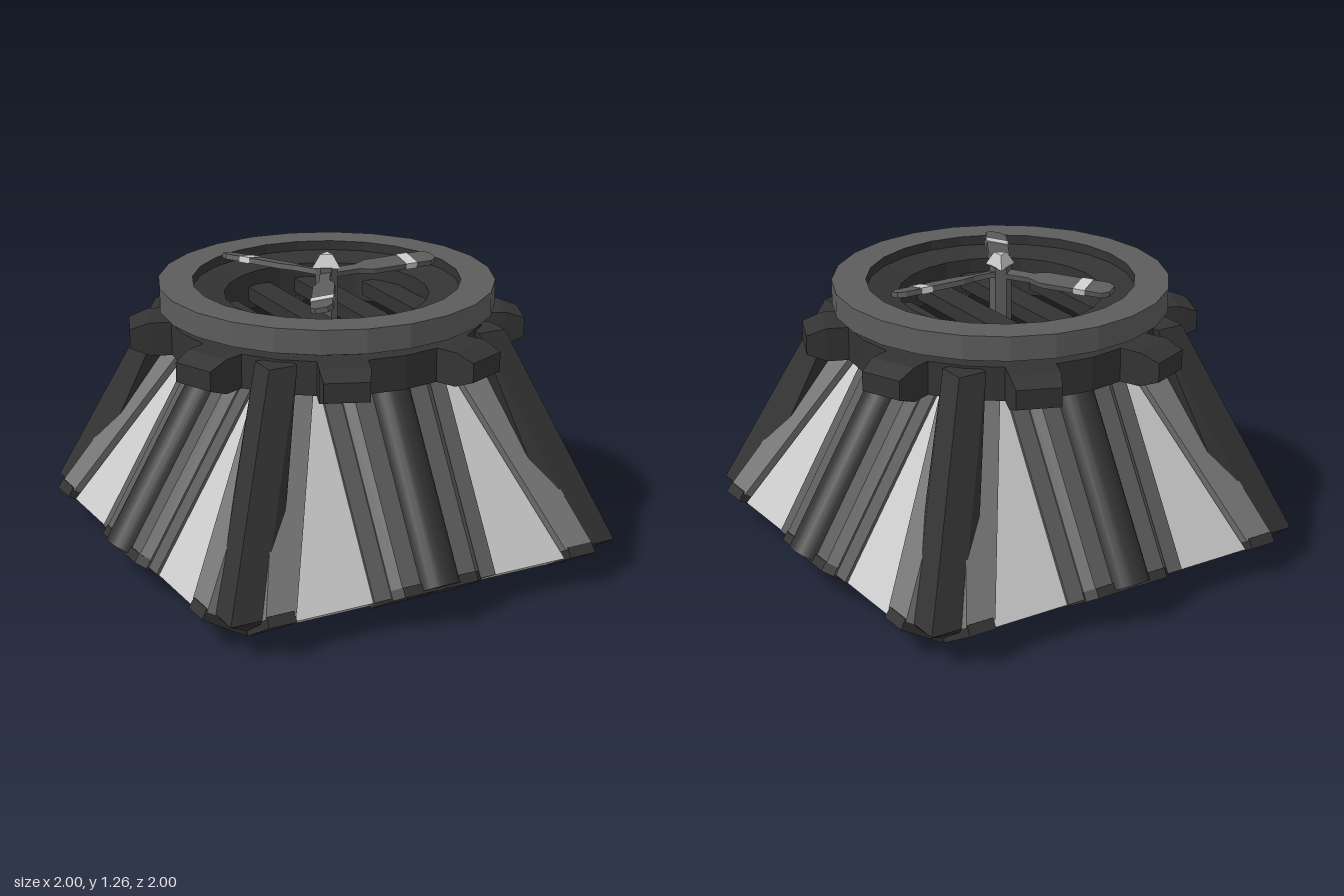
import * as THREE from 'three';
import { ConvexGeometry } from 'three/addons/geometries/ConvexGeometry.js';

const paint = (color, flatShading = true) => new THREE.MeshStandardMaterial({ color, flatShading, side: THREE.DoubleSide });
const light = paint(0xcccccc), mid = paint(0x777777), grey = paint(0x5c5c5c);
const dark = paint(0x333333), black = paint(0x151515), pipeDark = paint(0x333333, false);
const V = (x, y, z) => new THREE.Vector3(x, y, z);

function add(parent, name, geometry, material) {
  const mesh = new THREE.Mesh(geometry, material);
  mesh.name = name;
  parent.add(mesh);
  return mesh;
}

const shapeOf = (pts) => new THREE.Shape(pts.map(([x, y]) => new THREE.Vector2(x, y)));
const extrude = (pts, depth) => new THREE.ExtrudeGeometry(shapeOf(pts), { depth, bevelEnabled: false });

// Frame of a leaning wall: X across, T up the slope, N outward
const X = V(1, 0, 0), T = V(0, 0.857, -0.515), N = V(0, 0.515, 0.857), O = V(0, 0.12, 0.9);
const wallPoint = (t, h) => O.clone().addScaledVector(T, t).addScaledVector(N, h);

// Slab drawn on the wall plane, between heights h0 and h1
function slab(pts, h0, h1) {
  const m = new THREE.Matrix4().makeBasis(X, T, N).setPosition(wallPoint(0, h0));
  return extrude(pts, h1 - h0).applyMatrix4(m);
}

// Cross-section (x, h) run up the slope from t0 to t1
function run(pts, t0, t1) {
  const m = new THREE.Matrix4().makeBasis(X, N, T.clone().negate()).setPosition(wallPoint(t1, 0));
  return extrude(pts, t1 - t0).applyMatrix4(m);
}

function makeWall() {
  const wall = new THREE.Group();
  wall.name = 'wall';
  for (const s of [1, -1]) {
    const side = (pts) => pts.map(([x, y]) => [s * x, y]);
    add(wall, 'lightPanel', slab(side([[0.2, 0], [0.61, 0], [0.31, 0.84], [0.31, 0.9], [0.2, 0.9]]), -0.18, 0), light);
    add(wall, 'ribBorder', slab(side([[0.19, 0], [0.275, 0], [0.275, 0.9], [0.19, 0.9]]), -0.185, 0.012), grey);
    add(wall, 'edgeStrip', slab(side([[0.61, 0.03], [0.74, 0.03], [0.45, 0.92], [0.29, 0.92]]), -0.18, 0.025), mid);
    add(wall, 'cornerFoot', slab(side([[0.62, -0.005], [0.74, -0.005], [0.735, 0.04], [0.62, 0.04]]), -0.185, 0.03), dark);
    add(wall, 'rib', run(side([[0.02, -0.18], [0.2, -0.18], [0.2, 0.02], [0.165, 0.055], [0.02, 0.055]]), 0, 0.95), grey);
    add(wall, 'middleFoot', run(side([[0.02, -0.19], [0.05, -0.235], [0.165, -0.235], [0.2, -0.19],
      [0.2, 0.02], [0.165, 0.06], [0.02, 0.06]]), -0.01, 0.03), dark);
  }
  // Round pipe along the middle of the wall
  const pipe = add(wall, 'pipe', new THREE.CylinderGeometry(0.09, 0.09, 0.96, 24), pipeDark);
  pipe.position.copy(wallPoint(0.48, 0.025));
  pipe.quaternion.setFromUnitVectors(V(0, 1, 0), T.clone().normalize());
  return wall;
}

// Square corner beam, its foot cut at right angles to the slope
function makeBeam() {
  return new ConvexGeometry([
    V(0.87, 0.14, 0.87), V(0.87, 0.14, 0.74), V(0.74, 0.14, 0.87), V(0.84, 0.1, 0.66), V(0.66, 0.1, 0.84), V(0.7, 0.01, 0.7),
    V(0.53, 1, 0.53), V(0.53, 1, 0.41), V(0.41, 1, 0.53), V(0.4, 1, 0.4),
  ]);
}

// Collar tooth with a bevelled outer end
function makeTooth() {
  const pts = [];
  for (const [r, w, h] of [[0.58, 0.1, 0.07], [0.73, 0.1, 0.07], [0.81, 0.09, 0.04]])
    for (const a of [-1, 1]) for (const b of [-1, 1]) pts.push(V(a * w, 0.94 + b * h, r));
  return new ConvexGeometry(pts);
}

const lathe = (pts) => new THREE.LatheGeometry(pts.map(([r, y]) => new THREE.Vector2(r, y)), 24);

function makeFan() {
  const fan = new THREE.Group();
  fan.name = 'fan';
  const half = [[0.02, 0.022], [0.14, 0.022], [0.2, 0.045], [0.47, 0.045], [0.5, 0.025]];
  const outline = [...half, ...half.map(([x, y]) => [x, -y]).reverse()];
  const stripe = [[0.35, -0.047], [0.4, -0.047], [0.4, 0.047], [0.35, 0.047]];
  for (let i = 0; i < 3; i++) {
    const arm = new THREE.Group();
    arm.name = 'fanArm';
    add(arm, 'blade', extrude(outline, 0.022).rotateX(-Math.PI / 2 + 0.2), grey);
    add(arm, 'bladeStripe', extrude(stripe, 0.026).translate(0, 0, -0.002).rotateX(-Math.PI / 2 + 0.2), light);
    arm.position.y = 1.158;
    arm.rotation.y = i * Math.PI * 2 / 3;
    fan.add(arm);
  }
  add(fan, 'hub', new THREE.CylinderGeometry(0.045, 0.045, 0.25, 6).translate(0, 1.075, 0), grey);
  add(fan, 'hubCap', new THREE.CylinderGeometry(0.03, 0.068, 0.055, 3).rotateY(-Math.PI / 2).translate(0, 1.225, 0), light);
  return fan;
}

export function createModel() {
  const model = new THREE.Group();
  model.name = 'ventTower';

  // Four leaning walls and corner beams
  for (let i = 0; i < 4; i++) {
    const wall = makeWall();
    wall.rotation.y = i * Math.PI / 2;
    model.add(wall);
    add(model, 'cornerBeam', makeBeam(), dark).rotation.y = i * Math.PI / 2;
  }

  // Toothed collar
  add(model, 'collar', lathe([[0, 0.87], [0.65, 0.87], [0.65, 1.01], [0.575, 1.01], [0.575, 1.05]]), dark);
  for (let i = 0; i < 8; i++)
    add(model, 'collarTooth', makeTooth(), dark).rotation.y = (i + 0.5) * Math.PI / 4;

  // Top ring and the well inside it
  add(model, 'topRing', lathe([[0.57, 1.05], [0.69, 1.05], [0.69, 1.15], [0.55, 1.15]]), grey);
  add(model, 'well', lathe([[0.55, 1.15], [0.55, 1.11], [0.42, 1.09], [0.42, 0.93]]), dark);
  add(model, 'wellFloor', new THREE.CircleGeometry(0.43, 24).rotateX(-Math.PI / 2).translate(0, 0.93, 0), black);
  for (const x of [-0.35, -0.115, 0.115, 0.35]) {
    const length = 2 * Math.sqrt(0.42 ** 2 - x * x);
    add(model, 'grilleSlat', new THREE.BoxGeometry(0.11, 0.06, length), dark).position.set(x, 1.0, 0);
  }

  model.add(makeFan());
  return model;
}
